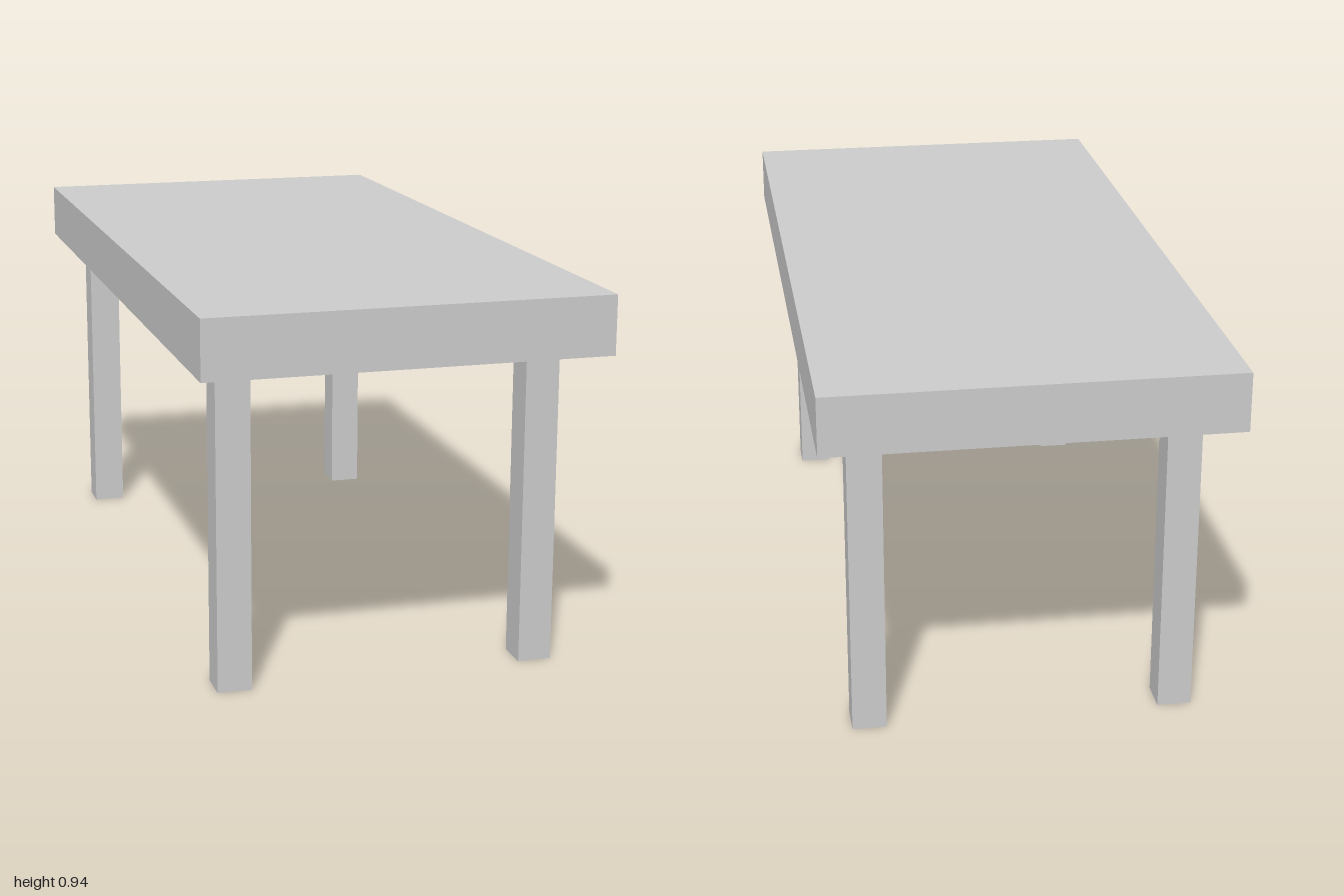
import * as THREE from 'three';

const TOP_Y = 0.942, UNDER_Y = 0.797, LEG = 0.084;

export function createModel() {
  const table = new THREE.Group();
  table.name = 'table';
  const material = new THREE.MeshStandardMaterial({ color: 0xcccccc, flatShading: true });

  function box(name, w, h, d, x, y, z) {
    const mesh = new THREE.Mesh(new THREE.BoxGeometry(w, h, d), material);
    mesh.name = name;
    mesh.position.set(x, y, z);
    table.add(mesh);
  }

  // Thick slab top
  box('tableTop', 0.988, TOP_Y - UNDER_Y, 2, 0, (TOP_Y + UNDER_Y) / 2, 0);

  // Four square legs, set in from the corners
  for (const [side, x] of [['Right', -0.385], ['Left', 0.376]]) {
    for (const [end, z] of [['front', 0.808], ['back', -0.803]]) {
      box(`${end}${side}Leg`, LEG, UNDER_Y, LEG, x, UNDER_Y / 2, z);
    }
  }
  return table;
}
